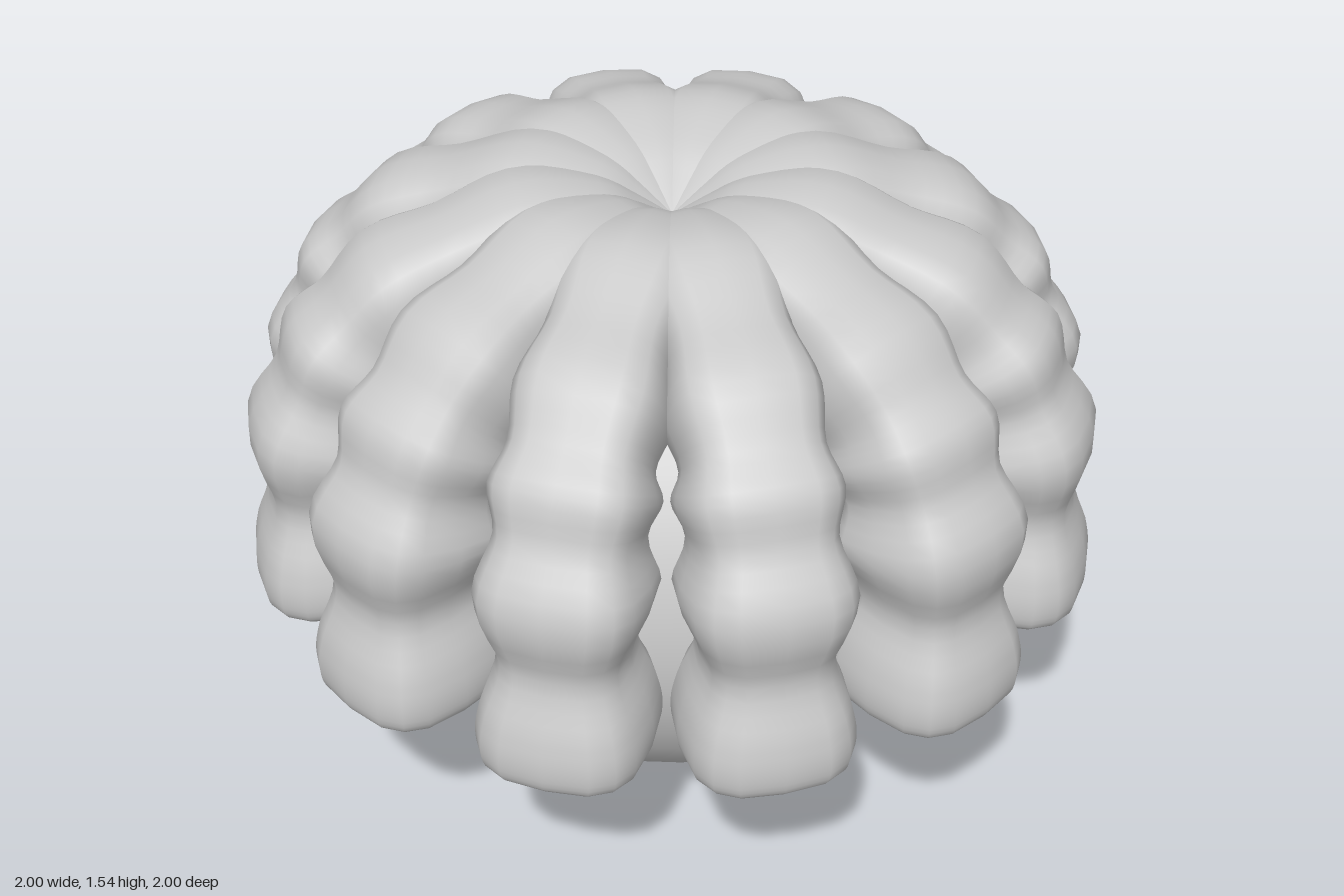
import * as THREE from 'three';

const material = new THREE.MeshStandardMaterial({ color: 0xcccccc });
const LOBES = 12, SIDES = 16, STEPS = 64;

// Stations along one lobe: distance from the axis, height, half width.
const stations = [
  [0, 1.385, 0.03], [0.1, 1.39, 0.09], [0.2, 1.4, 0.127], [0.33, 1.39, 0.155],
  [0.48, 1.35, 0.14], [0.6, 1.29, 0.165], [0.68, 1.22, 0.15], [0.725, 1.16, 0.175],
  [0.765, 1.08, 0.153], [0.8, 0.97, 0.187], [0.81, 0.82, 0.142], [0.81, 0.7, 0.178],
  [0.81, 0.62, 0.191], [0.81, 0.56, 0.182], [0.81, 0.532, 0.15], [0.81, 0.522, 0.08], [0.81, 0.52, 0],
];

// Sweeps a rounded-square section along the station curve.
function lobeGeometry() {
  const curve = new THREE.CatmullRomCurve3(stations.map(s => new THREE.Vector3(...s)));
  const soft = v => Math.sign(v) * Math.pow(Math.abs(v), 2 / 3);
  const positions = [], indices = [];
  for (let i = 0; i <= STEPS; i++) {
    const p = curve.getPoint(i / STEPS);
    const t = curve.getTangent(i / STEPS);
    const length = Math.hypot(t.x, t.y) || 1;
    const nx = -t.y / length, ny = t.x / length; // outward normal of the path
    const half = Math.max(p.z, 0);
    for (let j = 0; j < SIDES; j++) {
      const a = (j / SIDES) * Math.PI * 2;
      const out = half * soft(Math.cos(a)), side = half * soft(Math.sin(a));
      positions.push(p.x + nx * out, p.y + ny * out, side);
    }
  }
  for (let i = 0; i < STEPS; i++) {
    for (let j = 0; j < SIDES; j++) {
      const a = i * SIDES + j, b = i * SIDES + (j + 1) % SIDES;
      indices.push(a, b, a + SIDES, b, b + SIDES, a + SIDES);
    }
  }
  const geometry = new THREE.BufferGeometry();
  geometry.setAttribute('position', new THREE.Float32BufferAttribute(positions, 3));
  geometry.setIndex(indices);
  geometry.computeVertexNormals();
  // Face check: the outermost side must look away from the path.
  const mid = (STEPS * 0.75) * SIDES;
  if (geometry.attributes.normal.getX(mid) < 0) {
    geometry.setIndex(indices.reverse());
    geometry.computeVertexNormals();
  }
  return geometry;
}

export function createModel() {
  const model = new THREE.Group();
  model.name = 'lobedBall';

  // Round core
  const core = new THREE.Mesh(new THREE.SphereGeometry(0.67, 32, 24), material);
  core.name = 'core';
  core.position.y = 0.67;
  model.add(core);

  // Ring of drooping lobes
  const lobes = new THREE.Group();
  lobes.name = 'lobes';
  const geometry = lobeGeometry();
  for (let i = 0; i < LOBES; i++) {
    const lobe = new THREE.Mesh(geometry, material);
    lobe.name = 'lobe' + (i + 1);
    lobe.rotation.y = (i / LOBES) * Math.PI * 2;
    lobes.add(lobe);
  }
  model.add(lobes);
  return model;
}
